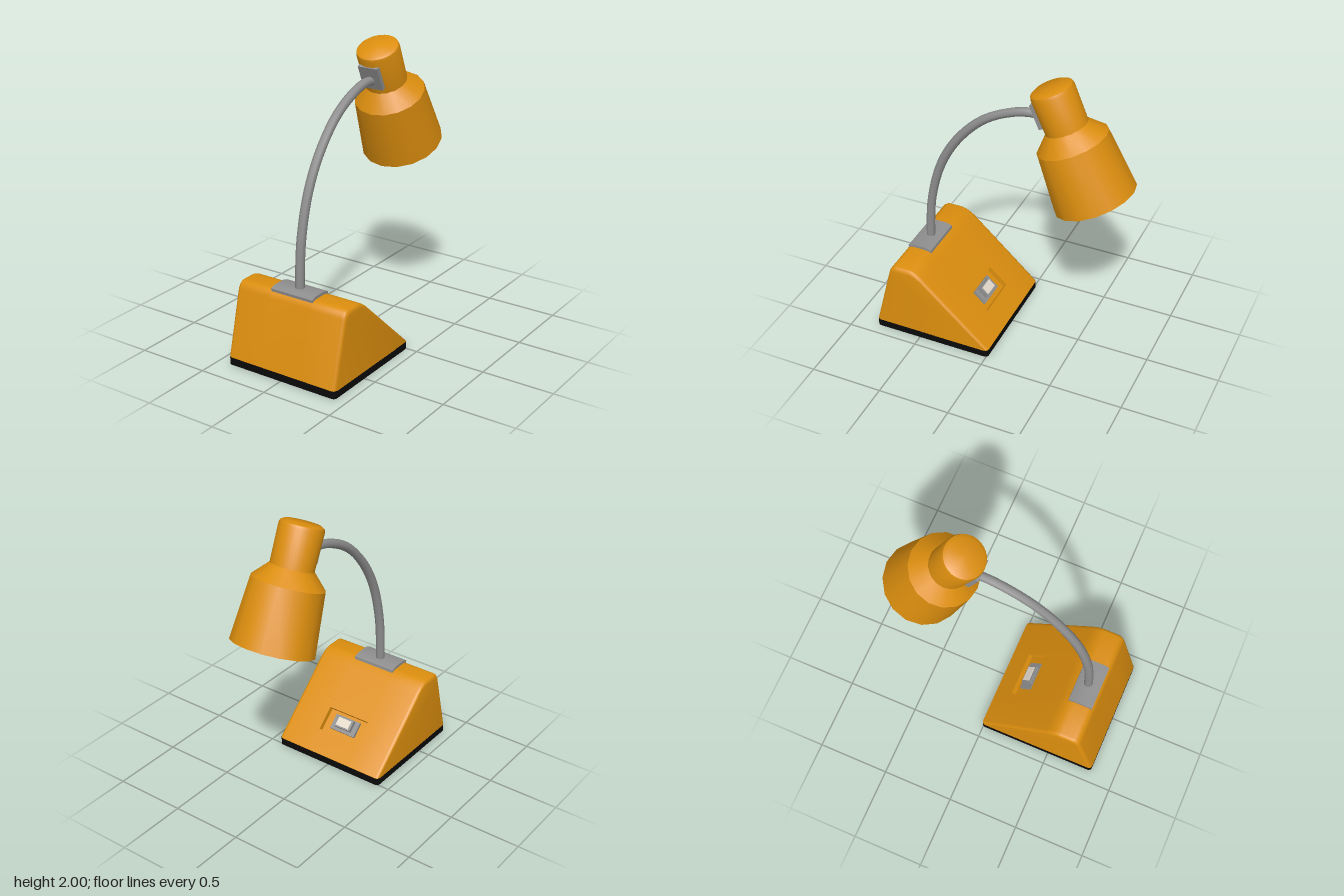
import * as THREE from 'three';
import { toCreasedNormals } from 'three/addons/utils/BufferGeometryUtils.js';

const mat = (name, color, side = THREE.FrontSide) => {
  const m = new THREE.MeshStandardMaterial({ color, side });
  m.name = name;
  return m;
};

// Extrude a (z, y) outline along x through stations [x, scale], x descending
function loftX(points, stations) {
  const shape = new THREE.Shape(points.map(([z, y]) => new THREE.Vector2(z, y)));
  const n = stations.length - 1;
  const geo = new THREE.ExtrudeGeometry(shape, { depth: n, steps: n, bevelEnabled: false });
  const p = geo.attributes.position;
  for (let i = 0; i < p.count; i++) {
    const [x, s] = stations[Math.round(p.getZ(i))];
    p.setXYZ(i, x, 0.05 + (p.getY(i) - 0.05) * s, 0.41 + (p.getX(i) - 0.41) * s);
  }
  return toCreasedNormals(geo, 0.6);
}

const lathe = (pts, segments) => toCreasedNormals(
  new THREE.LatheGeometry(pts.map(([r, y]) => new THREE.Vector2(r, y)), segments), 0.5);

export function createModel() {
  const model = new THREE.Group();
  model.name = 'deskLamp';
  const orange = mat('orange', 0xdc8e0e);
  const grey = mat('grey', 0x8f8f8f);
  const black = mat('black', 0x0a0a0a);
  const cream = mat('cream', 0xe4dacc);

  const add = (parent, name, geo, material, x = 0, y = 0, z = 0) => {
    const mesh = new THREE.Mesh(geo, material);
    mesh.name = name;
    mesh.position.set(x, y, z);
    parent.add(mesh);
    return mesh;
  };

  // Foot: thin slab with rounded corners
  const w = 0.42, r = 0.025;
  const slab = new THREE.Shape();
  slab.moveTo(-w + r, -w);
  slab.absarc(w - r, -w + r, r, -Math.PI / 2, 0);
  slab.absarc(w - r, w - r, r, 0, Math.PI / 2);
  slab.absarc(-w + r, w - r, r, Math.PI / 2, Math.PI);
  slab.absarc(-w + r, -w + r, r, Math.PI, Math.PI * 1.5);
  const footGeo = new THREE.ExtrudeGeometry(slab, { depth: 0.052, bevelEnabled: false, curveSegments: 5 });
  footGeo.rotateX(-Math.PI / 2);
  add(model, 'foot', footGeo, black, 0, 0, 0.41);

  // Base body: wedge outline, with a pocket cut into the middle of its slope
  const slopeAngle = 0.7437, sy = Math.sin(slopeAngle), sz = Math.cos(slopeAngle);
  const onSlope = (s, h) => [-0.01 + s * sz - h * sy, 0.055 + s * sy + h * sz];
  const crown = [];
  const bend = (a, b, c) => {
    const curve = new THREE.QuadraticBezierCurve(
      new THREE.Vector2(...a), new THREE.Vector2(...b), new THREE.Vector2(...c));
    curve.getPoints(6).forEach((v) => crown.push([v.x, v.y]));
  };
  bend([0.46, 0.488], [0.525, 0.548], [0.575, 0.548]);
  bend([0.655, 0.548], [0.704, 0.548], [0.718, 0.495]);
  const outline = (pocket) => [[0.83, 0.05], [-0.01, 0.05], onSlope(0, 0), ...pocket, ...crown].reverse();
  const pocket = [onSlope(0.163, 0), onSlope(0.163, -0.037), onSlope(0.333, -0.037), onSlope(0.333, 0)];
  const rounded = [90, 60, 30, 0].map((deg) => {
    const a = THREE.MathUtils.degToRad(deg);
    return [w - r + r * Math.sin(a), 1 - (r * (1 - Math.cos(a))) / w];
  });
  const leftEnd = [...rounded, [0.16, 1]];
  const rightEnd = leftEnd.map(([x, s]) => [-x, s]).reverse();
  add(model, 'baseLeft', loftX(outline([]), leftEnd), orange);
  add(model, 'baseMiddle', loftX(outline(pocket), [[0.16, 1], [-0.16, 1]]), orange);
  add(model, 'baseRight', loftX(outline([]), rightEnd), orange);

  // Switch sitting in the pocket
  const rocker = new THREE.Group();
  rocker.name = 'switch';
  rocker.position.set(0, 0.055, -0.01);
  rocker.rotation.x = -slopeAngle;
  model.add(rocker);
  add(rocker, 'switchFrame', new THREE.BoxGeometry(0.2, 0.022, 0.11), grey, 0, -0.028, 0.255);
  add(rocker, 'switchHousing', new THREE.BoxGeometry(0.13, 0.034, 0.08), grey, 0, -0.006, 0.262);
  add(rocker, 'switchButton', new THREE.BoxGeometry(0.104, 0.008, 0.06), cream, 0, 0.013, 0.262);

  // Plate that wraps over the crown of the base
  const plate = [[0.525, 0.535], [0.575, 0.545], [0.655, 0.545], [0.695, 0.535],
    [0.698, 0.555], [0.66, 0.568], [0.57, 0.568], [0.528, 0.555]];
  add(model, 'armPlate', loftX(plate, [[0.16, 1], [-0.16, 1]]), grey);

  // Curved arm
  const path = new THREE.CatmullRomCurve3([
    [0.607, 0.54], [0.603, 0.7], [0.583, 0.9], [0.51, 1.17], [0.387, 1.395],
    [0.195, 1.597], [-0.02, 1.708], [-0.16, 1.735], [-0.26, 1.715],
  ].map(([z, y]) => new THREE.Vector3(0, y, z)));
  add(model, 'arm', new THREE.TubeGeometry(path, 28, 0.031, 8), grey);

  // Lamp head, tilted so its opening points down and back
  const head = new THREE.Group();
  head.name = 'head';
  head.position.set(0, 1.2175, -0.581);
  head.rotation.x = 0.4126;
  model.add(head);
  add(head, 'shade', lathe([[0.264, 0], [0.277, 0], [0.24, 0.414], [0.141, 0.518]], 16), orange);
  add(head, 'shadeLining', lathe([[0, 0.495], [0.13, 0.495], [0.228, 0.408], [0.264, 0]].reverse()
    , 16), mat('creamLining', 0xe4dacc, THREE.DoubleSide));
  add(head, 'neck', lathe([[0.141, 0.505], [0.145, 0.765], [0.139, 0.785], [0.115, 0.799], [0, 0.803]], 32), orange);
  add(head, 'bulbSocket', new THREE.CylinderGeometry(0.12, 0.12, 0.25, 24), grey, 0, 0.37, 0);
  add(head, 'armBracket', new THREE.BoxGeometry(0.15, 0.17, 0.06), grey, 0, 0.645, 0.121);

  return model;
}
